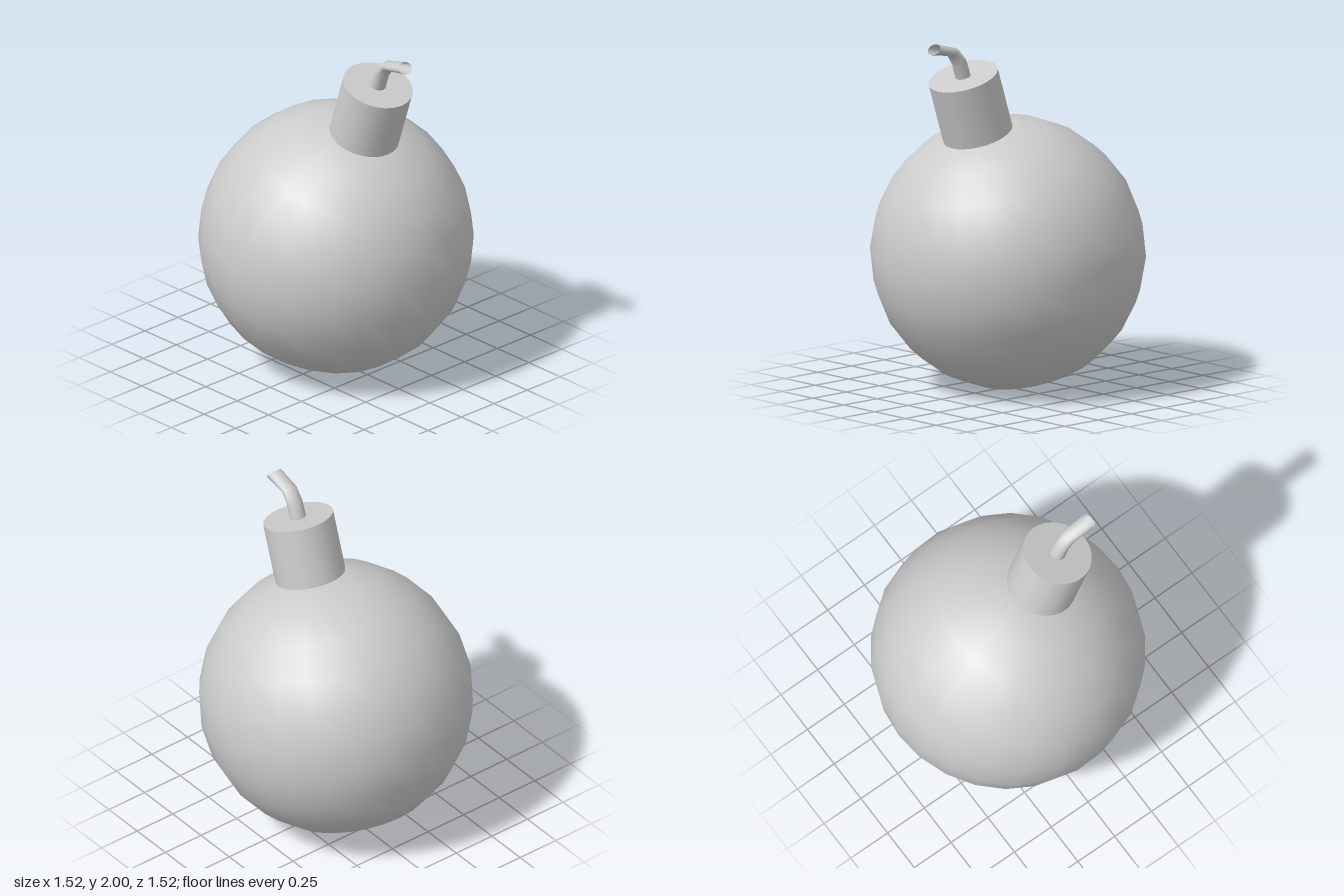
import * as THREE from 'three';

const TILT = THREE.MathUtils.degToRad(-18);
const RADIUS = 0.76;
const SIDES = 24;

// Loft through elliptical rings: [centre x, centre y, half-axis x, half-axis y], constant width in z
function loft(rings, halfWidth, sides) {
  const positions = [], indices = [];
  for (const [cx, cy, hx, hy] of rings) {
    for (let i = 0; i < sides; i++) {
      const a = (i / sides) * Math.PI * 2;
      positions.push(cx + hx * Math.cos(a), cy + hy * Math.cos(a), halfWidth * Math.sin(a));
    }
  }
  for (let r = 0; r < rings.length - 1; r++) {
    for (let i = 0; i < sides; i++) {
      const j = (i + 1) % sides;
      const a = r * sides + i, b = r * sides + j, c = a + sides, d = b + sides;
      indices.push(a, c, b, b, c, d);
    }
  }
  const geometry = new THREE.BufferGeometry();
  geometry.setAttribute('position', new THREE.Float32BufferAttribute(positions, 3));
  geometry.setIndex(indices);
  geometry.computeVertexNormals();
  return geometry;
}

export function createModel() {
  const model = new THREE.Group();
  model.name = 'bomb';
  const material = new THREE.MeshStandardMaterial({ color: 0xcccccc });
  const openMaterial = new THREE.MeshStandardMaterial({ color: 0xcccccc, side: THREE.DoubleSide });

  const add = (name, geometry, parent, mat = material) => {
    const mesh = new THREE.Mesh(geometry, mat);
    mesh.name = name;
    parent.add(mesh);
    return mesh;
  };

  // Ball and neck share one tilted axis
  const tilted = new THREE.Group();
  tilted.name = 'tiltedBody';
  tilted.position.y = RADIUS;
  tilted.rotation.z = TILT;
  model.add(tilted);

  add('ball', new THREE.SphereGeometry(RADIUS, SIDES, SIDES / 2), tilted);

  // Neck stands on the first ring of the ball
  const ring = Math.PI / 12;
  const bottom = RADIUS * Math.cos(ring), top = 1.086;
  const neckRadius = RADIUS * Math.sin(ring);
  const neck = add('neck', new THREE.CylinderGeometry(neckRadius, neckRadius, top - bottom, SIDES), tilted);
  neck.position.y = (top + bottom) / 2;

  // Bent, open-ended fuse
  add('fuse', loft([
    [0.331, 1.775, 0.041, -0.012],
    [0.365, 1.875, 0.037, -0.014],
    [0.415, 1.940, 0.024, -0.019],
    [0.553, 1.972, 0.024, -0.027],
  ], 0.046, 12), model, openMaterial);

  return model;
}
